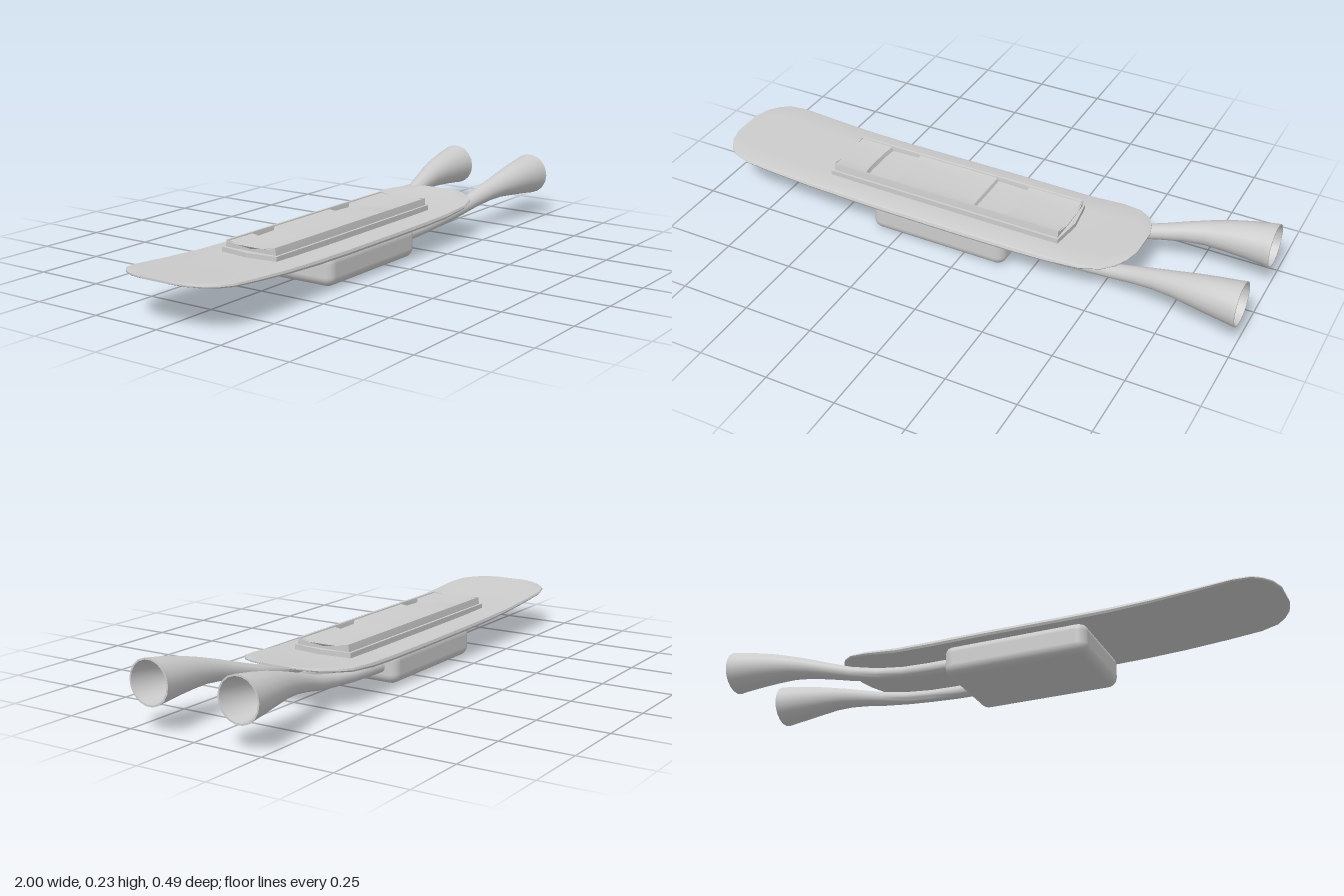
import * as THREE from 'three';
import { toCreasedNormals } from 'three/addons/utils/BufferGeometryUtils.js';
import { RoundedBoxGeometry } from 'three/addons/geometries/RoundedBoxGeometry.js';

const grey = new THREE.MeshStandardMaterial({ color: 0xcccccc });

function part(name, geometry) {
  const mesh = new THREE.Mesh(geometry, grey);
  mesh.name = name;
  return mesh;
}

// Skin closed rings of [x, y, z] points; rings run +z -> +y -> -z while x grows.
function loft(rings, crease, capped = true) {
  const n = rings[0].length;
  const all = [...rings];
  if (capped) {
    const centre = (r) => {
      const c = [0, 1, 2].map((k) => r.reduce((s, p) => s + p[k], 0) / n);
      return r.map(() => c);
    };
    all.unshift(centre(rings[0]));
    all.push(centre(rings[rings.length - 1]));
  }
  const index = [];
  for (let j = 0; j < all.length - 1; j++) {
    for (let i = 0; i < n; i++) {
      const a = j * n + i, b = j * n + (i + 1) % n;
      const c = a + n, d = b + n;
      const capStart = capped && j === 0, capEnd = capped && j === all.length - 2;
      if (!capStart) index.push(a, c, b);
      if (!capEnd) index.push(b, c, d);
    }
  }
  const geo = new THREE.BufferGeometry();
  geo.setAttribute('position', new THREE.Float32BufferAttribute(all.flat(2), 3));
  geo.setIndex(index);
  return toCreasedNormals(geo, crease);
}

// Board: [x, half width, underside y, top y]
function deck() {
  const stations = [
    [-1, 0.06, 0.15, 0.157], [-0.985, 0.115, 0.146, 0.156], [-0.96, 0.155, 0.142, 0.154],
    [-0.93, 0.183, 0.138, 0.152], [-0.87, 0.199, 0.131, 0.147], [-0.75, 0.2, 0.12, 0.139],
    [-0.6, 0.2, 0.109, 0.131], [-0.45, 0.2, 0.102, 0.128], [-0.3, 0.202, 0.1, 0.127],
    [0, 0.204, 0.1, 0.127], [0.2, 0.202, 0.1, 0.127], [0.33, 0.2, 0.103, 0.128],
    [0.45, 0.199, 0.116, 0.135], [0.52, 0.182, 0.128, 0.141], [0.56, 0.15, 0.134, 0.145],
    [0.585, 0.11, 0.139, 0.148], [0.6, 0.06, 0.142, 0.149],
  ];
  const rings = stations.map(([x, w, b, t]) => {
    const m = (b + t) / 2, e = (t - b) / 2;
    const half = [[1, m], [0.985, t - e * 0.3], [0.94, t], [0.55, t - e * 0.1]];
    const low = [[0.55, b], [0.9, b + e * 0.1], [0.98, b + e * 0.4]];
    const mirror = (list) => list.map(([z, y]) => [-z, y]).reverse();
    return [...half, ...mirror(half), ...mirror(low), ...low].map(([z, y]) => [x, y, z * w]);
  });
  return part('deck', loft(rings, 0.6));
}

// Raised standing pad with two shallow foot recesses
function pad() {
  const high = 0.165, low = 0.15;
  // [x, surface y, bow of the edge along x]
  const stations = [
    [-0.55, high, -0.015], [-0.425, high, -0.012], [-0.42, low, -0.012],
    [-0.315, low + 0.003, 0.006], [-0.31, high, 0.006],
    [0.005, high, -0.003], [0.01, low + 0.003, -0.003],
    [0.12, low, 0.012], [0.125, high, 0.012], [0.33, high, 0.012],
  ];
  const rings = stations.map(([x, t, bow]) => {
    const half = [[0.105, 0.115], [0.104, 0.14], [0.1, 0.17], [0.094, 0.169], [0.093, t], [0.05, t - 0.003]];
    const section = [...half, ...half.map(([z, y]) => [-z, y]).reverse()];
    return section.map(([z, y]) => [x + bow * (1 - (z / 0.105) ** 2), y, z]);
  });
  return part('standingPad', loft(rings, 0.5));
}

// Thin lip around the foot of the pad
function padBase() {
  const s = new THREE.Shape([
    [-0.575, 0], [-0.56, 0.112], [0.335, 0.112], [0.35, 0], [0.335, -0.112], [-0.56, -0.112],
  ].map(([x, y]) => new THREE.Vector2(x, y)));
  const geo = new THREE.ExtrudeGeometry(s, { depth: 0.03, bevelEnabled: false });
  geo.rotateX(-Math.PI / 2).translate(0, 0.115, 0);
  return part('padBase', geo);
}

// Curved exhaust pipe flaring to an open nozzle: [x, y, z, radius]
function exhaust(side) {
  const path = [
    [0.12, 0.062, 0.11, 0.024], [0.24, 0.063, 0.11, 0.023], [0.34, 0.067, 0.111, 0.022],
    [0.44, 0.077, 0.115, 0.023], [0.54, 0.094, 0.123, 0.026], [0.62, 0.114, 0.133, 0.03],
    [0.7, 0.133, 0.145, 0.036], [0.77, 0.145, 0.155, 0.044], [0.84, 0.152, 0.162, 0.055],
    [0.91, 0.156, 0.167, 0.065], [0.98, 0.158, 0.17, 0.074], [1, 0.158, 0.17, 0.077],
    [1, 0.158, 0.17, 0.071], [0.91, 0.156, 0.167, 0.059], [0.79, 0.147, 0.161, 0.041],
    [0.79, 0.147, 0.161, 0],
  ];
  const n = 18;
  const rings = path.map(([x, y, z, r]) => Array.from({ length: n }, (_, i) => {
    const a = (i / n) * Math.PI * 2;
    return [x, y + r * Math.sin(a), side * z + r * Math.cos(a)];
  }));
  return part(side > 0 ? 'frontExhaust' : 'backExhaust', loft(rings, 0.7, false));
}

export function createModel() {
  const model = new THREE.Group();
  model.name = 'rocketBoard';
  // Engine housing slung under the board
  const engine = part('engineHousing', new RoundedBoxGeometry(0.52, 0.115, 0.35, 4, 0.035));
  engine.position.set(-0.1, 0.0575, 0);
  model.add(deck(), padBase(), pad(), engine, exhaust(1), exhaust(-1));
  return model;
}
